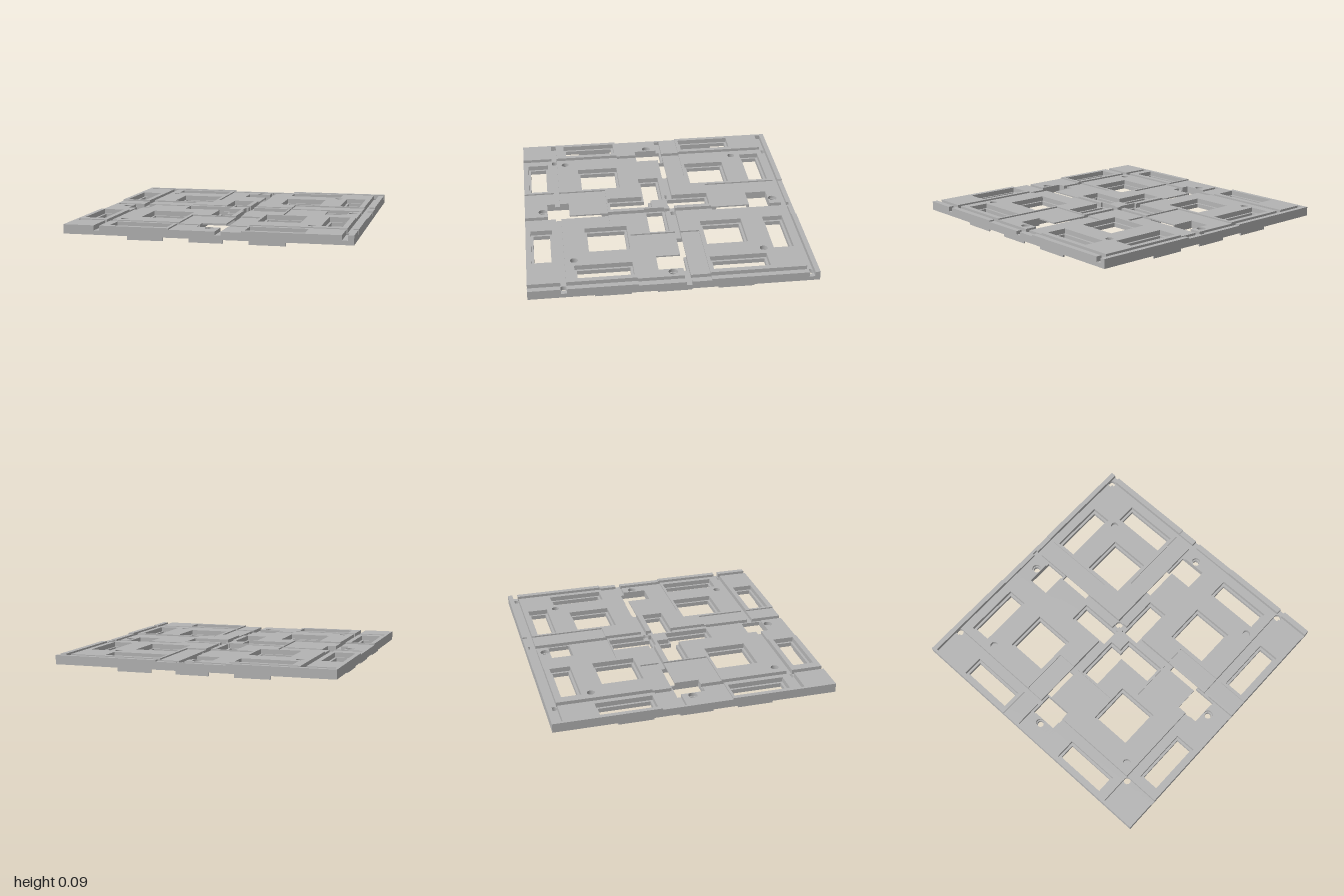
import * as THREE from 'three';

// Heights of the slab's layers: floor, ledge/groove level, pocket ceiling, recess level, top
const LEVELS = [0.03, 0.06, 0.075, 0.085, 0.095];
const cuts = []; // [x0, x1, z0, z1, firstLayer, lastLayer] removed from the slab
const patches = []; // square pieces with a round hole

const cut = (x0, x1, z0, z1, first = 0, last = 3) => cuts.push([x0, x1, z0, z1, first, last]);

// Through window with a stepped ledge around it
function windowCut(x0, x1, z0, z1, rim = 0.017) {
  cut(x0, x1, z0, z1);
  cut(x0 - rim, x1 + rim, z0 - rim, z1 + rim, 1, 3);
}

function roundHole(x, z, half, r, first, last) {
  patches.push({ x, z, half, r, first, last });
}

function layOut() {
  cuts.length = patches.length = 0;

  // Shallow recessed panels at the middle of each edge
  cut(-0.25, 0.25, -1, -0.39, 3);
  cut(-0.25, 0.25, 0.385, 1, 3);
  cut(-1, -0.39, -0.25, 0.25, 3);
  cut(0.39, 1, -0.25, 0.25, 3);

  // Grooves, closed at the back and right ends
  for (const x of [-0.76, 0.09, 0.94]) cut(x - 0.02, x + 0.02, x === 0.09 ? -0.98 : -0.965, 1, 1);
  for (const z of [-0.945, -0.095, 0.755]) cut(-0.98, 1, z - 0.02, z + 0.02, 1);

  // Underside pockets, which open into the middle grooves
  for (const [a, b] of [[-0.67, -0.43], [0.43, 0.67]]) {
    cut(a, b, -0.125, 0.125, 0, 1);
    cut(-0.125, 0.125, a, b, 0, 1);
  }

  // Plain openings near the edges
  cut(-0.1, 0.097, -0.838, -0.68);
  cut(-0.1, 0.097, 0.67, 0.832);
  cut(-0.838, -0.68, -0.1, 0.097);
  cut(0.67, 0.832, -0.1, 0.097);

  // Stepped windows of the four quarters
  for (const [a, b] of [[-0.66, -0.29], [0.285, 0.655]]) {
    windowCut(a, b, -0.87, -0.755);
    windowCut(a, b, 0.825, 0.945);
    windowCut(-0.95, -0.835, a, b);
    windowCut(0.75, 0.865, a, b);
  }
  for (const [x0, x1] of [[-0.56, -0.29], [0.29, 0.557]])
    for (const [z0, z1] of [[-0.56, -0.29], [0.285, 0.557]]) windowCut(x0, x1, z0, z1);

  // Stepped windows around the centre
  windowCut(-0.1, 0.018, -0.365, -0.075);
  windowCut(-0.1, 0.018, 0.07, 0.36);
  windowCut(-0.365, -0.075, -0.02, 0.1);
  windowCut(0.07, 0.36, -0.02, 0.1);

  // Holes at the groove crossings
  for (const [x, z] of [[-0.76, -0.945], [0.94, -0.945], [-0.76, 0.755], [0.94, 0.755], [0.09, -0.095]])
    roundHole(x, z, 0.027, 0.025, 0, 0);

  // Counterbored screw holes
  for (const [x, z] of [[0, -0.872], [0, 0.867], [-0.872, 0], [0.867, 0]]) {
    roundHole(x, z, 0.033, 0.023, 0, 0);
    roundHole(x, z, 0.033, 0.032, 1, 2);
  }

  // Blind round dimples
  for (const x of [-0.67, 0.67]) for (const z of [-0.67, 0.67]) roundHole(x, z, 0.03, 0.028, 1, 3);
}

// Slab surface from a grid of cells, keeping only the exposed faces
function slabGeometry() {
  const edges = (values) => [...new Set(values.map((v) => Math.round(v * 1e4) / 1e4))].sort((a, b) => a - b);
  const xs = edges([-1, 1, ...cuts.flatMap((c) => [c[0], c[1]]), ...patches.flatMap((p) => [p.x - p.half, p.x + p.half])]);
  const zs = edges([-1, 1, ...cuts.flatMap((c) => [c[2], c[3]]), ...patches.flatMap((p) => [p.z - p.half, p.z + p.half])]);
  const grid = [xs, LEVELS, zs];
  const size = grid.map((g) => g.length - 1);

  // 0 = empty, 1 = solid, 2 = filled by a round-hole piece
  const classify = (i, k, j) => {
    const x = (xs[i] + xs[i + 1]) / 2, z = (zs[j] + zs[j + 1]) / 2;
    if (patches.some((p) => k >= p.first && k <= p.last && Math.abs(x - p.x) < p.half && Math.abs(z - p.z) < p.half)) return 2;
    return cuts.some((c) => k >= c[4] && k <= c[5] && x > c[0] && x < c[1] && z > c[2] && z < c[3]) ? 0 : 1;
  };
  const cells = xs.slice(1).map((_, i) => LEVELS.slice(1).map((_, k) => zs.slice(1).map((_, j) => classify(i, k, j))));
  const at = (c) => (c.some((v, a) => v < 0 || v >= size[a]) ? 0 : cells[c[0]][c[1]][c[2]]);

  const positions = [];
  const addFace = (cell, a, side) => {
    const u = (a + 1) % 3, v = (a + 2) % 3;
    const corner = (du, dv) => {
      const p = [];
      p[a] = grid[a][cell[a] + side];
      p[u] = grid[u][cell[u] + du];
      p[v] = grid[v][cell[v] + dv];
      return p;
    };
    const q = [corner(0, 0), corner(1, 0), corner(1, 1), corner(0, 1)];
    if (!side) q.reverse();
    for (const n of [0, 1, 2, 0, 2, 3]) positions.push(...q[n]);
  };

  for (let i = 0; i < size[0]; i++)
    for (let k = 0; k < size[1]; k++)
      for (let j = 0; j < size[2]; j++) {
        if (cells[i][k][j] !== 1) continue;
        for (let a = 0; a < 3; a++)
          for (const side of [0, 1]) {
            const next = [i, k, j];
            next[a] += side ? 1 : -1;
            const other = at(next);
            if (other === 0 || (other === 2 && a === 1)) addFace([i, k, j], a, side);
          }
      }

  const geometry = new THREE.BufferGeometry();
  geometry.setAttribute('position', new THREE.Float32BufferAttribute(positions, 3));
  geometry.computeVertexNormals();
  return geometry;
}

// Square block with a round hole through it
function roundHoleGeometry({ x, z, half, r, first, last }) {
  const shape = new THREE.Shape([[-1, -1], [1, -1], [1, 1], [-1, 1]].map(([a, b]) => new THREE.Vector2(a * half, b * half)));
  shape.holes.push(new THREE.Path().absarc(0, 0, r, 0, Math.PI * 2, true));
  const depth = LEVELS[last + 1] - LEVELS[first];
  return new THREE.ExtrudeGeometry(shape, { depth, bevelEnabled: false, curveSegments: 24 })
    .rotateX(-Math.PI / 2)
    .translate(x, LEVELS[first], z);
}

export function createModel() {
  const model = new THREE.Group();
  model.name = 'basePlate';
  const grey = new THREE.MeshStandardMaterial({ color: 0xb4b4b4 });
  grey.name = 'plainGrey';
  const add = (geometry, name) => {
    const mesh = new THREE.Mesh(geometry, grey);
    mesh.name = name;
    model.add(mesh);
    return mesh;
  };

  layOut();
  add(slabGeometry(), 'slab');
  for (const p of patches) add(roundHoleGeometry(p), 'roundHole');

  // Three thin locating ribs under each edge
  for (const side of [-0.967, 0.967])
    for (const [centre, length] of [[-0.425, 0.25], [0, 0.235], [0.42, 0.25]]) {
      add(new THREE.BoxGeometry(length, 0.03, 0.011), 'edgeRib').position.set(centre, 0.015, side);
      add(new THREE.BoxGeometry(0.011, 0.03, length), 'edgeRib').position.set(side, 0.015, centre);
    }
  return model;
}
